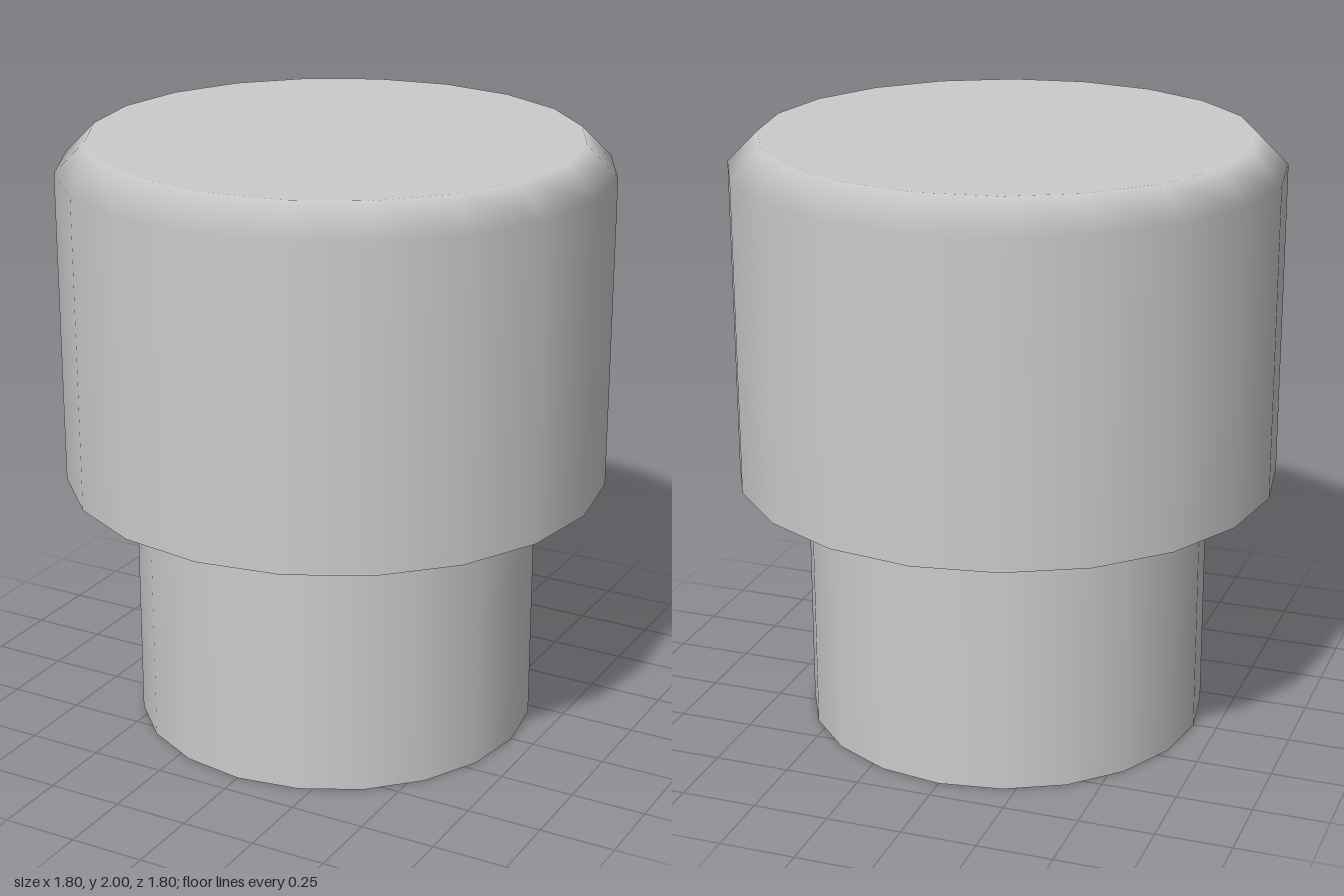
import * as THREE from 'three';

const SIDES = 20;
const STEM_R = 0.67, CAP_R = 0.9, TOP_R = 0.8;
const CAP_BOTTOM = 0.86, CHAMFER_Y = 1.9, TOP_Y = 2;

export function createModel() {
  const group = new THREE.Group();
  const material = new THREE.MeshStandardMaterial({ color: 0xcccccc });
  const add = (name, geometry, parent = group) => {
    const mesh = new THREE.Mesh(geometry, material);
    mesh.name = name;
    parent.add(mesh);
    return mesh;
  };

  // Stem: plain round post, closed at the bottom
  const stem = new THREE.Group();
  stem.name = 'stem';
  group.add(stem);
  add('stemWall', new THREE.CylinderGeometry(STEM_R, STEM_R, CAP_BOTTOM, SIDES, 1, true), stem)
    .position.y = CAP_BOTTOM / 2;
  add('stemBase', new THREE.CircleGeometry(STEM_R, SIDES).rotateX(Math.PI / 2), stem);

  // Head: wide wall with a chamfer that shades smoothly into the flat top
  const head = new THREE.Group();
  head.name = 'head';
  group.add(head);
  const wall = new THREE.LatheGeometry([
    new THREE.Vector2(CAP_R, CAP_BOTTOM),
    new THREE.Vector2(CAP_R, CHAMFER_Y),
    new THREE.Vector2(TOP_R, TOP_Y),
  ], SIDES);
  const pos = wall.attributes.position;
  const n = new THREE.Vector3();
  for (let i = 0; i < pos.count; i++) {
    n.set(pos.getX(i), 0, pos.getZ(i)).normalize();
    if (pos.getY(i) > CHAMFER_Y + 0.01) n.multiplyScalar(0.15).setY(1).normalize();
    wall.attributes.normal.setXYZ(i, n.x, n.y, n.z);
  }
  add('headWall', wall, head);
  add('headTop', new THREE.CircleGeometry(TOP_R, SIDES).rotateX(-Math.PI / 2), head)
    .position.y = TOP_Y;
  add('headUnderside', new THREE.RingGeometry(STEM_R, CAP_R, SIDES).rotateX(Math.PI / 2), head)
    .position.y = CAP_BOTTOM;

  return group;
}
